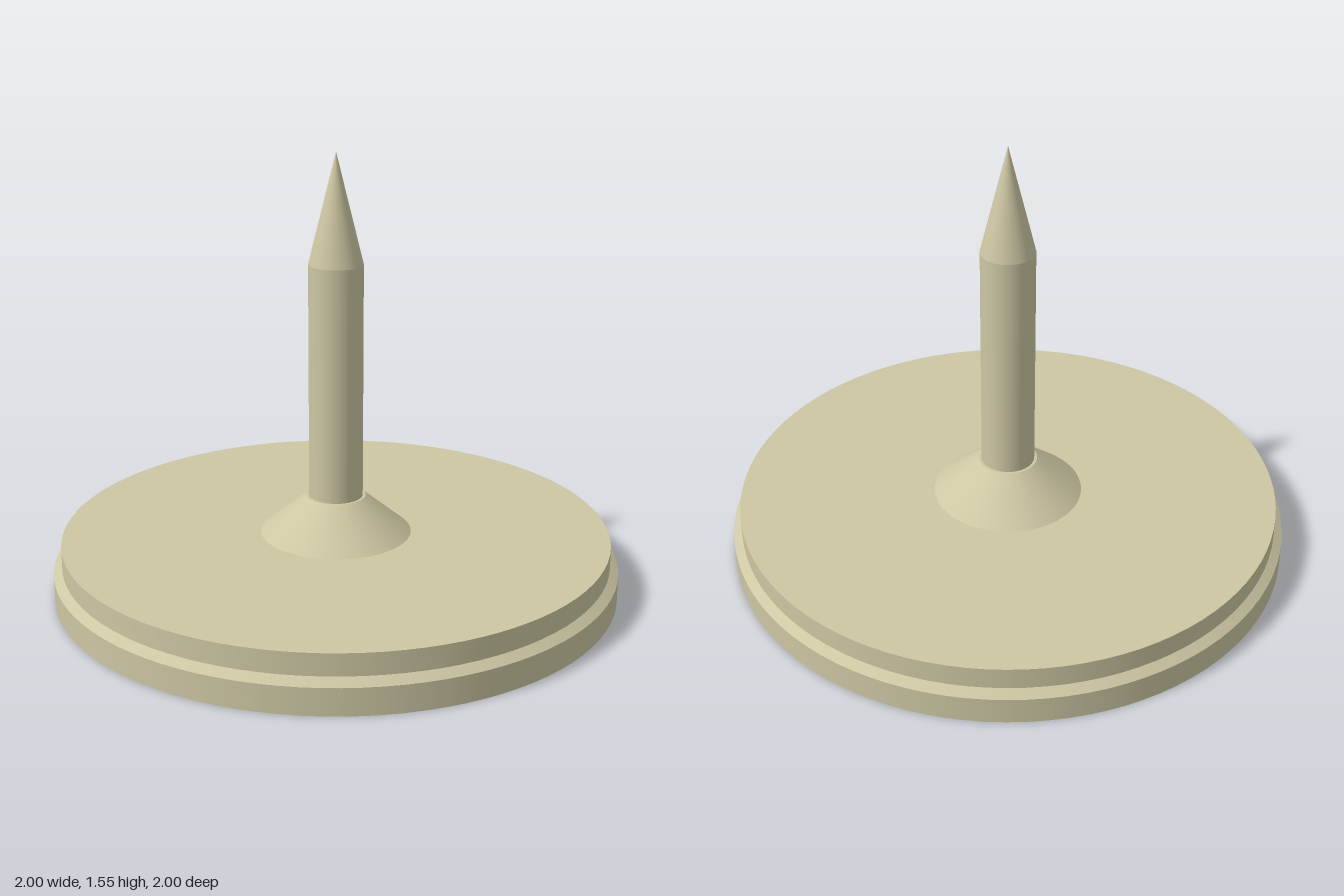
import * as THREE from 'three';

const SEGMENTS = 96;

export function createModel() {
  const group = new THREE.Group();
  group.name = 'pushPin';

  const metal = new THREE.MeshStandardMaterial({ color: 0xcdc7a3 });
  metal.name = 'pale brass';

  // Round section between two heights, with crisp rims and smooth sides
  const section = (name, y0, y1, r0, r1, open = false) => {
    const geometry = new THREE.CylinderGeometry(r1, r0, y1 - y0, SEGMENTS, 1, open);
    geometry.translate(0, (y0 + y1) / 2, 0);
    const mesh = new THREE.Mesh(geometry, metal);
    mesh.name = name;
    group.add(mesh);
  };

  // Flat head: wide rim, bevel and slightly narrower upper disc
  section('headRim', 0, 0.095, 1, 1);
  section('headBevel', 0.095, 0.118, 1, 0.97, true);
  section('headDisc', 0.095, 0.195, 0.97, 0.97);

  // Flared collar, shaft and pointed tip
  section('collar', 0.195, 0.33, 0.267, 0.105);
  section('shaft', 0.33, 1.165, 0.095, 0.095);
  section('tip', 1.165, 1.55, 0.095, 0, true);

  return group;
}
